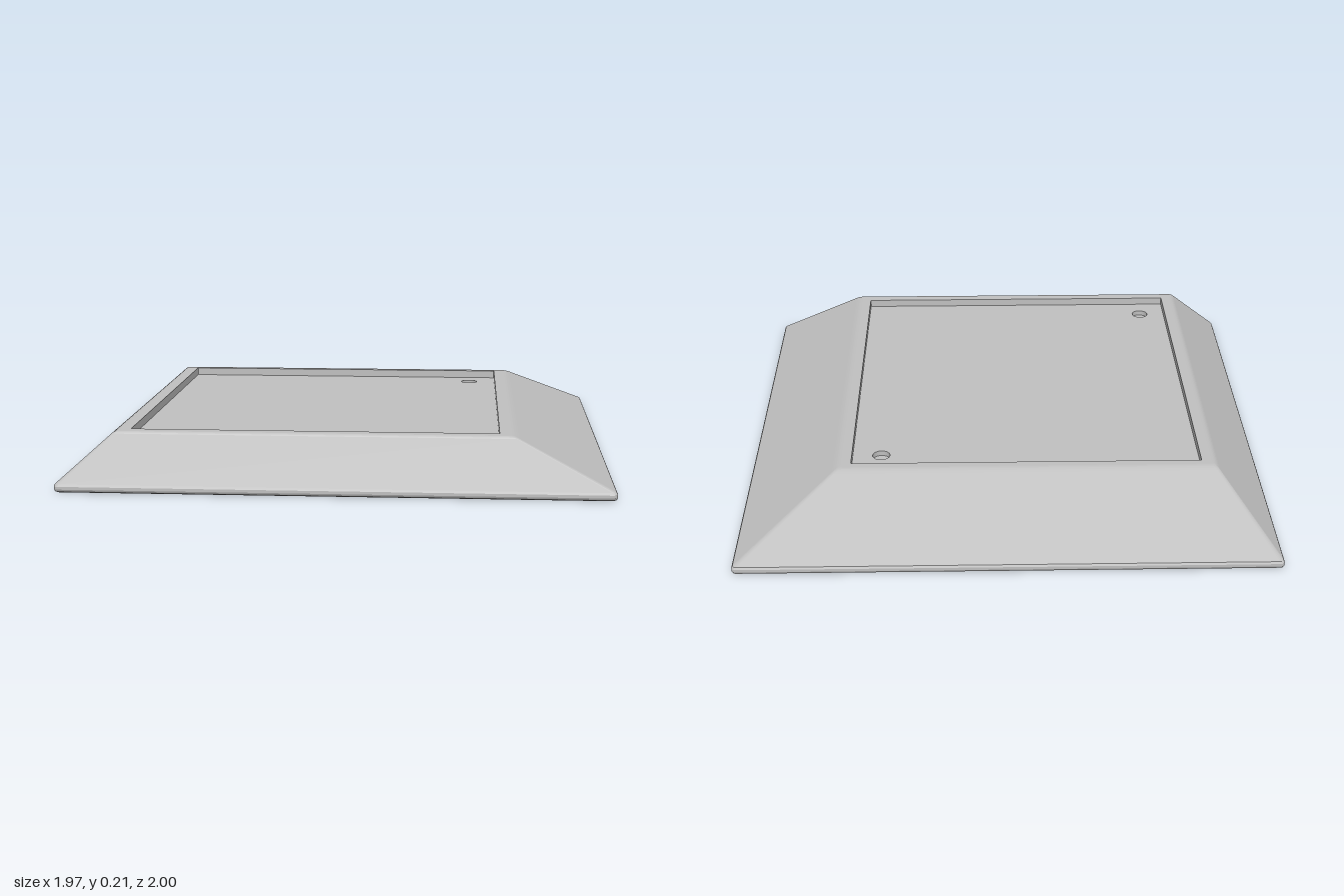
import * as THREE from 'three';
import { toCreasedNormals } from 'three/addons/utils/BufferGeometryUtils.js';

const TOP = 0.21, FLOOR = 0.18, POCKET = 0.16;
// rectangles as [xMin, xMax, zMin, zMax]
const BASE = [-0.987, 0.987, -1, 1];
const PLATEAU = [-0.78, 0.63, -0.62, 0.92];
const RECESS = [-0.73, 0.58, -0.58, 0.872];
const HOLES = [[0.472, -0.47], [-0.625, 0.768]];
const HOLE_R = 0.033, CORNER_STEPS = 4;

const inset = ([a, b, c, d], m) => [a + m, b - m, c + m, d - m];
const mix = (p, q, t) => p.map((v, i) => v + (q[i] - v) * t);

// Rounded rectangle at height y, counter-clockwise seen from above
function ring([x0, x1, z0, z1], y, r) {
  const corners = [[x1 - r, z0 + r], [x0 + r, z0 + r], [x0 + r, z1 - r], [x1 - r, z1 - r]];
  const points = [];
  corners.forEach(([cx, cz], k) => {
    for (let i = 0; i <= CORNER_STEPS; i++) {
      const a = (k + i / CORNER_STEPS) * Math.PI / 2;
      points.push([cx + r * Math.cos(a), y, cz - r * Math.sin(a)]);
    }
  });
  return points;
}

// Flat-faced skin through successive rings
function skin(rings) {
  const pos = [];
  for (let k = 0; k < rings.length - 1; k++) {
    const lo = rings[k], hi = rings[k + 1], n = lo.length;
    for (let i = 0; i < n; i++) {
      const j = (i + 1) % n;
      pos.push(...lo[i], ...lo[j], ...hi[j], ...lo[i], ...hi[j], ...hi[i]);
    }
  }
  const geo = new THREE.BufferGeometry();
  geo.setAttribute('position', new THREE.Float32BufferAttribute(pos, 3));
  geo.computeVertexNormals();
  return geo;
}

export function createModel() {
  const model = new THREE.Group();
  model.name = 'slopedHousing';
  const grey = new THREE.MeshStandardMaterial({ color: 0xbfbfbf });
  grey.name = 'plain grey';

  const add = (name, geometry) => {
    const mesh = new THREE.Mesh(geometry, grey);
    mesh.name = name;
    model.add(mesh);
    return mesh;
  };

  // Underside, rounded foot edge and sloping sides
  const rings = [
    ring([0, 0, 0, 0], 0, 0),
    ring(inset(BASE, 0.012), 0, 0.008),
    ring(inset(BASE, 0.004), 0.004, 0.012),
    ring(BASE, 0.012, 0.015),
    ring(BASE, 0.022, 0.015),
    ring(inset(BASE, 0.004), 0.03, 0.015),
  ];

  // Soft edge between the slopes and the top rim
  const start = mix(BASE, PLATEAU, 0.95), startY = 0.03 + (TOP - 0.03) * 0.95;
  const end = inset(PLATEAU, 0.012);
  for (let i = 0; i <= 4; i++) {
    const t = i / 4;
    const rect = mix(mix(start, PLATEAU, t), mix(PLATEAU, end, t), t);
    const y = startY + (TOP - startY) * (2 * t - t * t);
    rings.push(ring(rect, y, 0.01));
  }

  // Flat rim and recess walls
  rings.push(ring(RECESS, TOP, 0.003), ring(RECESS, FLOOR, 0.003));
  add('housing', skin(rings));

  // Recess floor with two round openings
  const [x0, x1, z0, z1] = RECESS;
  const panel = new THREE.Shape([[x0, -z1], [x1, -z1], [x1, -z0], [x0, -z0]]
    .map(([x, y]) => new THREE.Vector2(x, y)));
  for (const [x, z] of HOLES) {
    panel.holes.push(new THREE.Path().absarc(x, -z, HOLE_R, 0, Math.PI * 2, true));
  }
  add('recessFloor', new THREE.ShapeGeometry(panel, 16).rotateX(-Math.PI / 2).translate(0, FLOOR, 0));

  // Shallow blind screw holes
  const profile = [[HOLE_R, FLOOR], [HOLE_R, POCKET], [0, POCKET]]
    .map(([r, y]) => new THREE.Vector2(r, y));
  const pocket = toCreasedNormals(new THREE.LatheGeometry(profile, 32), 0.5);
  for (const [x, z] of HOLES) add('screwHole', pocket).position.set(x, 0, z);

  return model;
}
